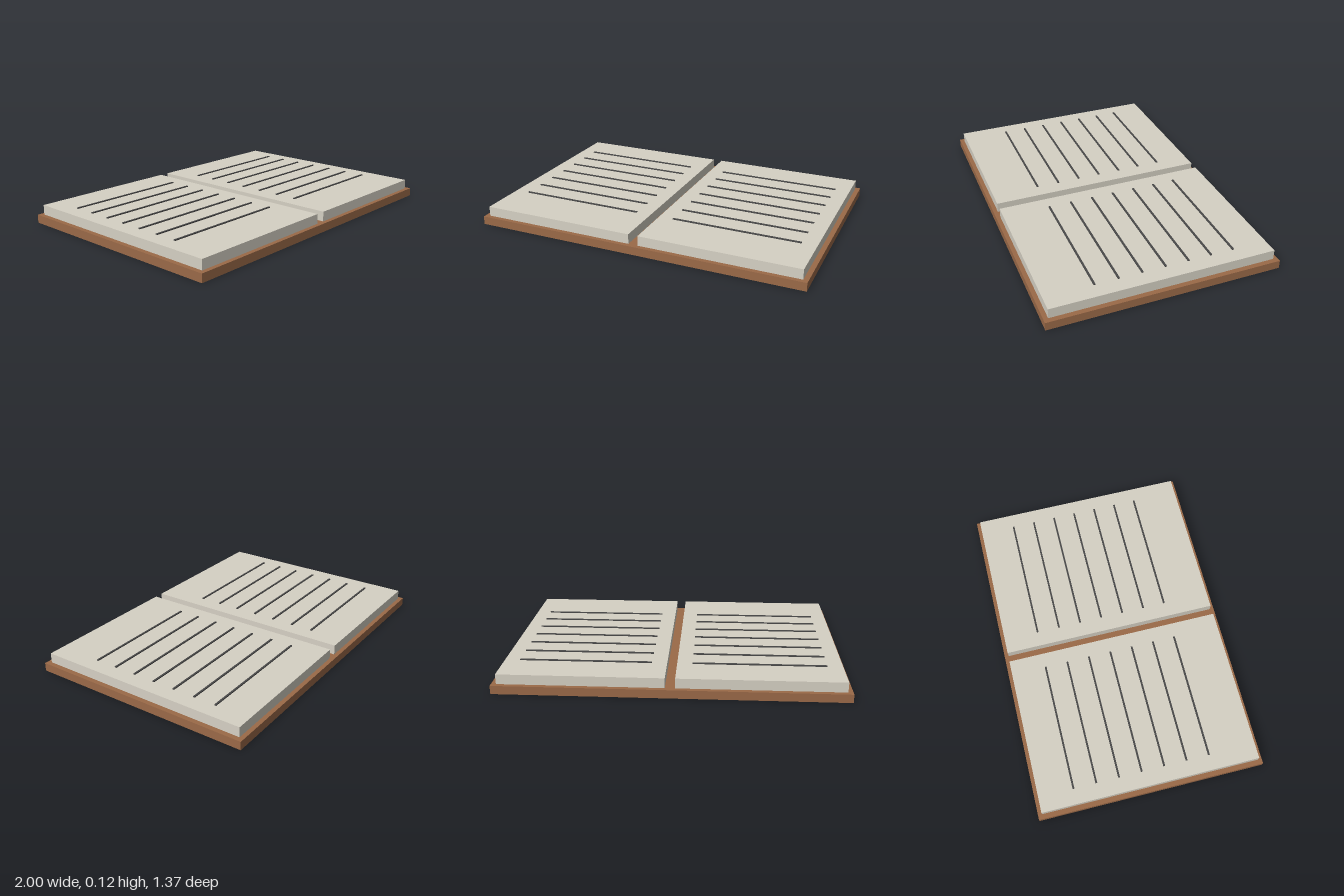
import * as THREE from 'three';

const material = (color) => new THREE.MeshStandardMaterial({ color });

export function createModel() {
  const book = new THREE.Group();
  book.name = 'openBook';
  const leather = material(0x9b6a48);
  const paper = material(0xd6d1c4);
  const ink = material(0x4a4a4a);

  // Box given by its size, its centre in x and z, and its bottom height
  function addBox(parent, name, mat, w, h, d, x, bottom, z) {
    const mesh = new THREE.Mesh(new THREE.BoxGeometry(w, h, d), mat);
    mesh.name = name;
    mesh.position.set(x, bottom + h / 2, z);
    parent.add(mesh);
  }

  // Cover lying flat
  addBox(book, 'cover', leather, 2, 0.05, 1.366, 0, 0, 0);

  // Two page blocks with a gutter between them, each with seven ruled lines
  for (const [side, name] of [[1, 'left'], [-1, 'right']]) {
    const half = new THREE.Group();
    half.name = name + 'Half';
    addBox(half, name + 'Pages', paper, 0.943, 0.06, 1.314, side * 0.5, 0.049, 0);
    for (let i = 0; i < 7; i++) {
      addBox(half, name + 'Line' + (i + 1), ink, 0.765, 0.01, 0.011,
        side * 0.5, 0.105, -0.447 + i * 0.1367);
    }
    book.add(half);
  }
  return book;
}
